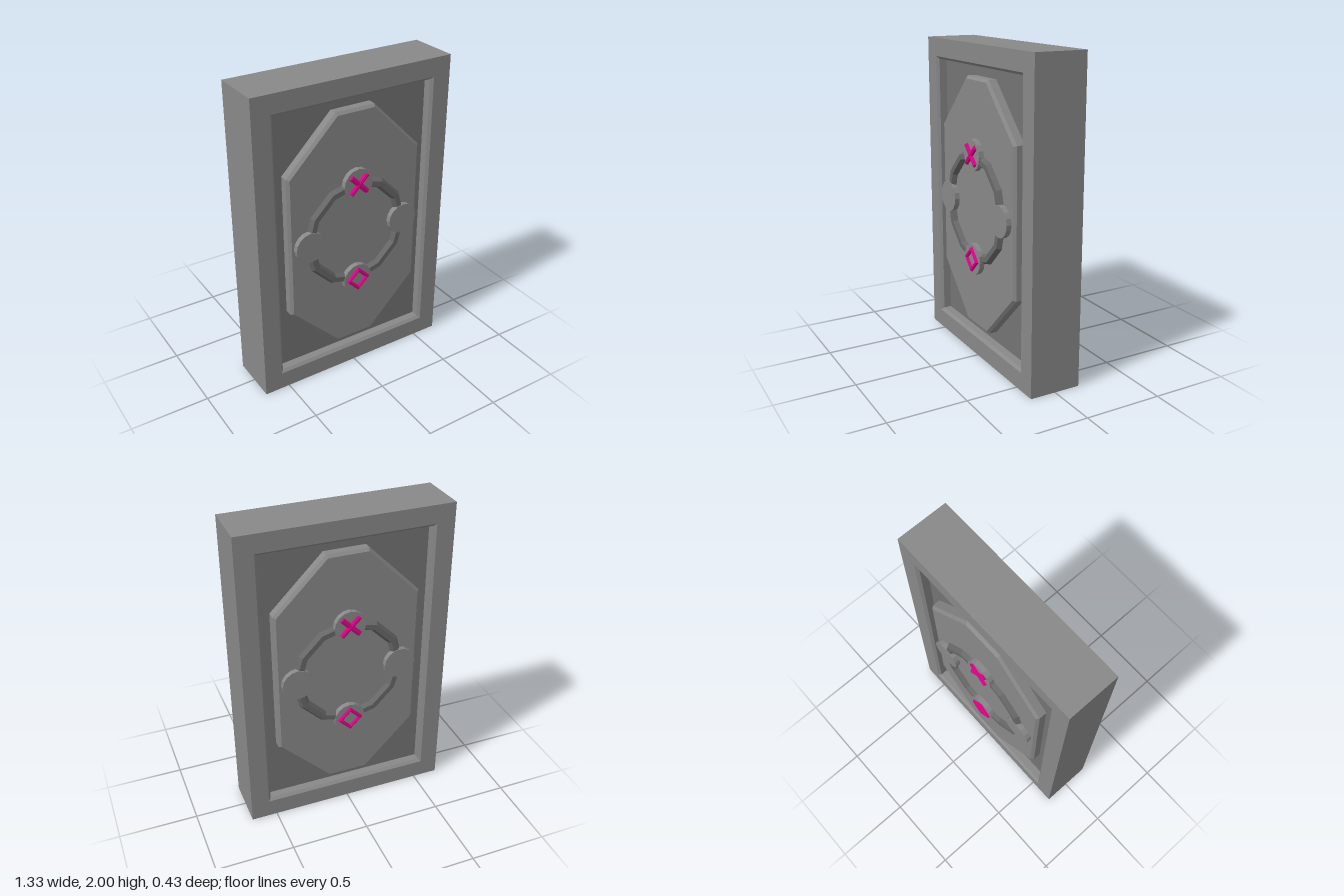
import * as THREE from 'three';

const paint = (color) => new THREE.MeshStandardMaterial({ color, flatShading: true });
const grey = paint(0x888888);
const darkGrey = paint(0x737373);
const ringGrey = paint(0x686868);
const magenta = paint(0xdd0088);

const T = 1 / 6; // half thickness of the slab
const C = 1 / 60; // chamfer width
const FLOOR = 0.1; // z of the recessed floor

// Outlines, counter-clockwise, inset by c
const rect = (w, h, c = 0) => [[w - c, -h + c], [w - c, h - c], [-w + c, h - c], [-w + c, -h + c]];
function octagon(c = 0) {
  const k = c * 0.414;
  const a = [0.463 - c, 0.467 - k], b = [0.133 - k, 0.8 - c];
  return [[a[0], -a[1]], a, b, [-b[0], b[1]], [-a[0], a[1]], [-a[0], -a[1]], [-b[0], -b[1]], [b[0], -b[1]]];
}

// Skin a list of [outline, z] sections from back to front and cap both ends
function loft(sections) {
  const n = sections[0][0].length, pos = [], idx = [];
  for (const [outline, z] of sections) for (const [x, y] of outline) pos.push(x, y, z);
  const last = (sections.length - 1) * n;
  for (let s = 0; s < last; s += n) {
    for (let i = 0; i < n; i++) {
      const j = (i + 1) % n;
      idx.push(s + i, s + j, s + n + j, s + i, s + n + j, s + n + i);
    }
  }
  for (let i = 1; i < n - 1; i++) idx.push(0, i + 1, i, last, last + i, last + i + 1);
  const g = new THREE.BufferGeometry();
  g.setAttribute('position', new THREE.Float32BufferAttribute(pos, 3));
  g.setIndex(idx);
  const flat = g.toNonIndexed();
  flat.computeVertexNormals();
  return flat;
}

export function createModel() {
  const model = new THREE.Group();
  const add = (name, geometry, material, x, y, z) => {
    const mesh = new THREE.Mesh(geometry, material);
    mesh.name = name;
    mesh.position.set(x, y, z);
    model.add(mesh);
    return mesh;
  };

  // Slab with a chamfered recess on both faces
  const outer = rect(2 / 3, 1), lip = rect(0.55, 0.883), well = rect(0.55, 0.883, C);
  add('frame', loft([
    [well, -FLOOR + 0.01], [well, -T + C], [lip, -T], [outer, -T],
    [outer, T], [lip, T], [well, T - C], [well, FLOOR - 0.01],
  ]), grey, 0, 1, 0);

  // Darker floor of both recesses, its edges set into the frame
  add('recessFloor', new THREE.BoxGeometry(1.12, 1.8, 2 * FLOOR), darkGrey, 0, 1, 0);

  // Raised eight-sided panel, passing through to both faces
  add('octagonPanel', loft([
    [octagon(C), -T], [octagon(), -T + C], [octagon(), T - C], [octagon(C), T],
  ]), grey, 0, 1, 0);

  // Four round studs, each passing through to both faces
  const R = 1 / 3;
  const stud = new THREE.CylinderGeometry(0.1, 0.1, 0.4, 16).rotateX(Math.PI / 2);
  for (const [x, y] of [[R, 0], [0, R], [-R, 0], [0, -R]]) add('stud', stud, grey, x, 1 + y, 0);

  // Ring and coloured marks on each face
  const ring = new THREE.TorusGeometry(R, 1 / 30, 6, 12);
  const diamond = new THREE.TorusGeometry(1 / 15, 1 / 60, 8, 4);
  const bar = new THREE.CylinderGeometry(1 / 60, 1 / 60, 0.16, 8);
  for (const side of [1, -1]) {
    add('ring', ring, ringGrey, 0, 1, side * T);
    add('diamondMark', diamond, magenta, 0, 1 - R, side * 0.2);
    for (const turn of [1, -1]) {
      add('crossBar', bar, magenta, 0, 1 + R, side * 0.2).rotation.z = turn * Math.PI / 4;
    }
  }
  return model;
}
